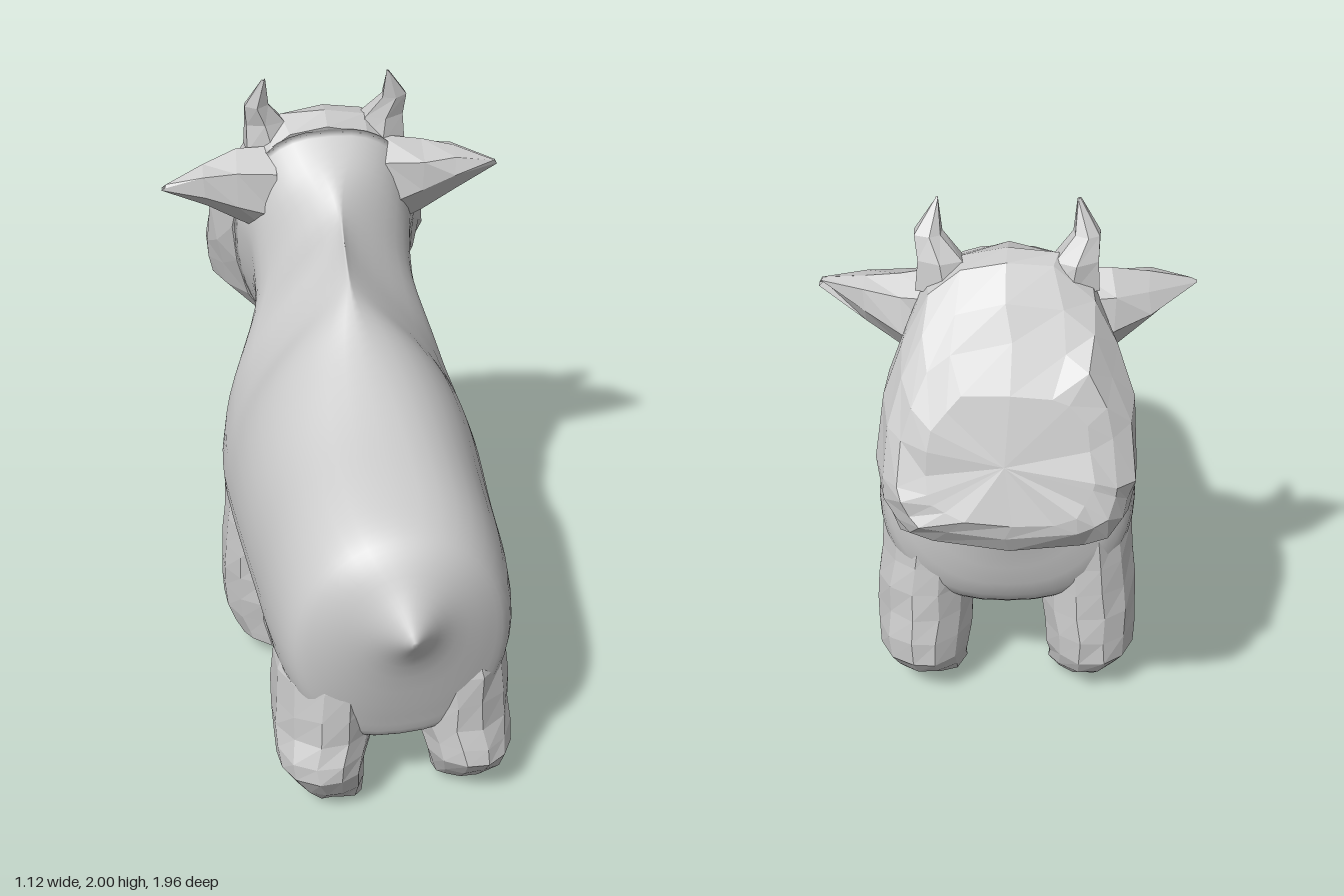
import * as THREE from 'three';

const smooth = new THREE.MeshStandardMaterial({ color: 0xcccccc, side: THREE.DoubleSide });
const faceted = new THREE.MeshStandardMaterial({ color: 0xcccccc, side: THREE.DoubleSide, flatShading: true });

let seed = 7;
function rand() {
  seed = (seed * 16807) % 2147483647;
  return seed / 2147483647 - 0.5;
}

// Skins rows of points (closed loops) and caps both ends; jitter roughens the surface
function skin(rows, jitter = 0) {
  const n = rows[0].length, pos = [], idx = [];
  const centre = (row) => row.reduce((a, p) => a.add(p), new THREE.Vector3()).divideScalar(n);
  const add = (p) => pos.push(p.x + rand() * jitter, p.y + rand() * jitter, p.z + rand() * jitter);
  rows.forEach((row) => row.forEach(add));
  add(centre(rows[0]));
  add(centre(rows[rows.length - 1]));
  const c0 = rows.length * n, last = c0 - n;
  for (let j = 0; j < n; j++) {
    const k = (j + 1) % n;
    for (let i = 0; i < rows.length - 1; i++) {
      const a = i * n + j, b = i * n + k;
      idx.push(a, a + n, b, b, a + n, b + n);
    }
    idx.push(c0, j, k, c0 + 1, last + k, last + j);
  }
  const g = new THREE.BufferGeometry();
  g.setAttribute('position', new THREE.Float32BufferAttribute(pos, 3));
  g.setIndex(idx);
  g.computeVertexNormals();
  return g;
}

// Inserts steps between stations with a Catmull-Rom rule on every value
function refine(st, steps) {
  const out = [];
  for (let i = 0; i < st.length - 1; i++) {
    const p0 = st[Math.max(i - 1, 0)], p1 = st[i], p2 = st[i + 1], p3 = st[Math.min(i + 2, st.length - 1)];
    for (let s = 0; s < steps; s++) {
      const t = s / steps;
      out.push(p1.map((v, k) => v + 0.5 * t * (p2[k] - p0[k]
        + t * (2 * p0[k] - 5 * v + 4 * p2[k] - p3[k] + t * (3 * (v - p2[k]) + p3[k] - p0[k])))));
    }
  }
  out.push(st[st.length - 1]);
  return out;
}

// Cross-section: top z, y; bottom z, y; half width; height of widest point; top and bottom taper
function section([tz, ty, bz, by, w, wide, topTaper, lowTaper], n) {
  return Array.from({ length: n }, (_, j) => {
    const a = (j / n) * Math.PI * 2, c = Math.cos(a), s = Math.sin(a);
    const v = wide + s * (s > 0 ? 1 - wide : wide);
    const x = Math.sign(c) * Math.pow(Math.abs(c), s > 0 ? topTaper : lowTaper) * w;
    return new THREE.Vector3(x, by + (ty - by) * v, bz + (tz - bz) * v);
  });
}

// Horizontal elliptical loop: y, centre x, centre z, radius x, radius z
function loop([y, x, z, rx, rz], side, n) {
  return Array.from({ length: n }, (_, j) => {
    const a = ((j + 0.5) / n) * Math.PI * 2;
    return new THREE.Vector3(side * x + Math.cos(a) * rx, y, z + Math.sin(a) * rz);
  });
}

// Upright loop for the ears: x, centre y, centre z, radius y, radius z
function earLoop([x, y, z, ry, rz], side, n) {
  return Array.from({ length: n }, (_, j) => {
    const a = (j / n) * Math.PI * 2;
    return new THREE.Vector3(side * x, y + Math.cos(a) * ry, z - side * Math.sin(a) * rz);
  });
}

// Tail point, rump, barrel, shoulders and neck
const bodyStations = [
  [0.98, 0.80, 0.97, 0.77, 0.01, 0.5, 1, 1],
  [0.90, 0.91, 0.88, 0.63, 0.12, 0.5, 1, 1],
  [0.83, 1.01, 0.81, 0.38, 0.27, 0.5, 0.9, 0.8],
  [0.75, 1.07, 0.76, 0.27, 0.35, 0.48, 0.9, 0.8],
  [0.60, 1.12, 0.60, 0.26, 0.385, 0.46, 0.85, 0.85],
  [0.35, 1.19, 0.35, 0.29, 0.40, 0.42, 0.9, 0.9],
  [0.12, 1.29, 0.12, 0.31, 0.415, 0.40, 1.1, 0.9],
  [-0.02, 1.38, -0.04, 0.32, 0.42, 0.37, 1.5, 0.9],
  [-0.12, 1.47, -0.22, 0.34, 0.42, 0.35, 2.3, 0.9],
  [-0.20, 1.56, -0.36, 0.45, 0.39, 0.34, 2.5, 0.8],
  [-0.27, 1.64, -0.43, 0.73, 0.28, 0.5, 1.7, 1],
  [-0.36, 1.73, -0.54, 0.88, 0.27, 0.62, 0.95, 1],
  [-0.46, 1.82, -0.66, 0.95, 0.31, 0.58, 0.75, 0.9],
];

// Cheeks, brow and broad square muzzle
const headStations = [
  [-0.46, 1.82, -0.66, 0.95, 0.31, 0.58, 0.75, 0.9],
  [-0.54, 1.86, -0.76, 1.00, 0.35, 0.4, 0.75, 0.6],
  [-0.60, 1.85, -0.86, 1.04, 0.38, 0.3, 0.85, 0.4],
  [-0.69, 1.76, -0.93, 1.07, 0.36, 0.28, 0.75, 0.4],
  [-0.77, 1.66, -0.97, 1.13, 0.32, 0.28, 0.6, 0.45],
  [-0.84, 1.55, -0.975, 1.18, 0.25, 0.35, 0.6, 0.5],
];

const frontLeg = [
  [0.07, 0.26, -0.16, 0.12, 0.14],
  [0.17, 0.28, -0.20, 0.15, 0.185],
  [0.35, 0.275, -0.185, 0.165, 0.185],
  [0.55, 0.26, -0.175, 0.16, 0.185],
  [0.78, 0.23, -0.18, 0.16, 0.17],
  [0.95, 0.18, -0.15, 0.10, 0.11],
];
const rearLeg = [
  [0.05, 0.24, 0.68, 0.11, 0.07],
  [0.17, 0.24, 0.69, 0.14, 0.17],
  [0.30, 0.22, 0.62, 0.165, 0.21],
  [0.50, 0.21, 0.60, 0.165, 0.22],
  [0.75, 0.17, 0.58, 0.12, 0.17],
];
const ear = [
  [0.18, 1.60, -0.50, 0.17, 0.12],
  [0.31, 1.63, -0.49, 0.125, 0.11],
  [0.42, 1.66, -0.47, 0.07, 0.08],
  [0.555, 1.68, -0.42, 0.008, 0.01],
];
const horn = [
  [1.74, 0.18, -0.55, 0.10, 0.07],
  [1.83, 0.20, -0.55, 0.075, 0.055],
  [1.90, 0.23, -0.53, 0.045, 0.035],
  [1.995, 0.205, -0.50, 0.004, 0.004],
];

export function createModel() {
  const model = new THREE.Group();
  model.name = 'cow';
  const add = (name, geometry, material) => {
    const mesh = new THREE.Mesh(geometry, material);
    mesh.name = name;
    model.add(mesh);
  };

  add('body', skin(refine(bodyStations, 4).map((s) => section(s, 40))), smooth);
  add('head', skin(headStations.map((s) => section(s, 20)), 0.025), faceted);

  // Paired parts
  for (const [side, label] of [[1, 'left'], [-1, 'right']]) {
    add(label + 'FrontLeg', skin(refine(frontLeg, 2).map((s) => loop(s, side, 12)), 0.012), faceted);
    // The right hind hoof reaches a little lower
    const hind = rearLeg.map((s, i) => (i === 0 && side < 0 ? [0.01, 0.19, 0.69, 0.08, 0.05] : s));
    add(label + 'RearLeg', skin(refine(hind, 2).map((s) => loop(s, side, 12)), 0.012), faceted);
    add(label + 'Ear', skin(ear.map((s) => earLoop(s, side, 7)), 0.02), faceted);
    add(label + 'Horn', skin(horn.map((s) => loop(s, side, 6)), 0.01), faceted);
  }
  return model;
}
